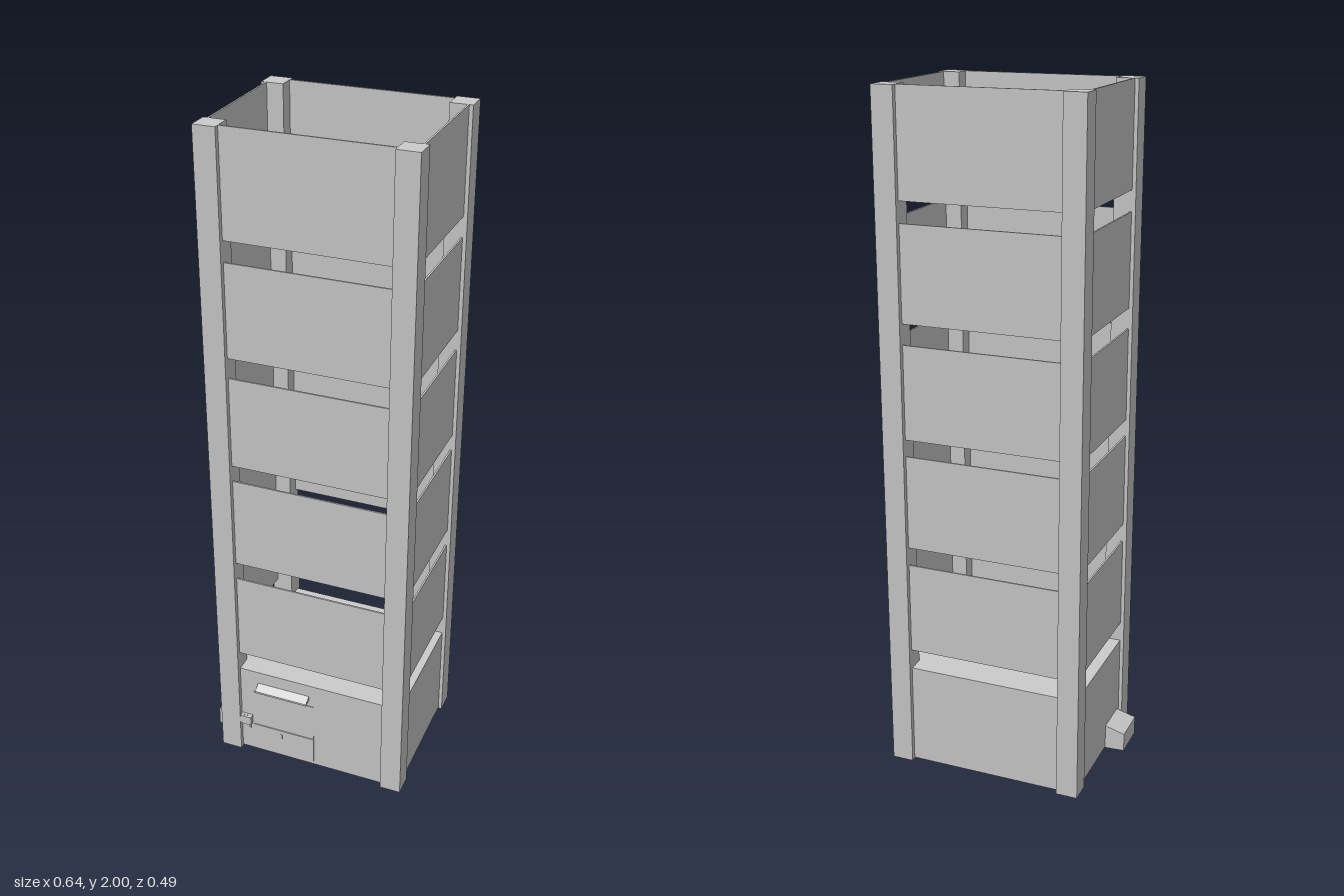
import * as THREE from 'three';

export function createModel() {
  const root = new THREE.Group();
  root.name = 'slattedTower';
  const mat = new THREE.MeshStandardMaterial({ color: 0xcccccc, flatShading: true });

  // Box given by its limits on each axis
  function box(name, x0, x1, y0, y1, z0, z1, parent = root) {
    const mesh = new THREE.Mesh(new THREE.BoxGeometry(x1 - x0, y1 - y0, z1 - z0), mat);
    mesh.position.set((x0 + x1) / 2, (y0 + y1) / 2, (z0 + z1) / 2);
    mesh.name = name;
    parent.add(mesh);
    return mesh;
  }

  // Four corner posts
  for (const x of [-0.273, 0.257])
    for (const z of [-0.245, 0.168]) box('cornerPost', x, x + 0.064, 0, 2, z, z + 0.064);

  // Thin wall panels in five rows with gaps between them
  const rows = [[0.37, 0.645], [0.7, 0.98], [1.03, 1.305], [1.365, 1.64], [1.7, 2]];
  for (const [y0, y1] of rows) {
    box('frontPanel', -0.209, 0.257, y0, y1, 0.212, 0.217);
    box('backPanel', -0.209, 0.257, y0, y1, -0.23, -0.225);
    box('rightPanel', -0.262, -0.257, y0, y1, -0.181, 0.168);
    box('leftPanel', 0.305, 0.31, y0, y1, -0.181, 0.168);
  }

  // Closed base between the posts
  box('baseCore', -0.209, 0.257, 0.003, 0.31, -0.23, 0.217);
  box('baseRightSide', -0.262, -0.209, 0.003, 0.31, -0.181, 0.168);
  box('baseLeftSide', 0.257, 0.31, 0.003, 0.31, -0.181, 0.168);

  // Cross bars on the base, with two rails lying over them
  for (const [z0, z1] of [[-0.127, -0.1], [0.085, 0.114]])
    box('crossBar', -0.209, 0.257, 0.31, 0.345, z0, z1);
  for (const x of [-0.071, 0.084])
    box('supportRail', x, x + 0.036, 0.345, 0.361, -0.127, 0.114);

  // Access door with its lower panel and slot
  const door = new THREE.Group();
  door.name = 'accessDoor';
  root.add(door);
  box('doorUpper', -0.167, 0.033, 0.105, 0.232, 0.215, 0.219, door);
  box('doorLower', -0.167, 0.033, 0.015, 0.103, 0.215, 0.22, door);
  box('doorSlot', -0.077, -0.072, 0.072, 0.09, 0.219, 0.222, door);

  // Sloping hood over the door
  const hoodShape = new THREE.Shape();
  [[0.215, 0.255], [0.242, 0.25], [0.242, 0.256], [0.215, 0.27]].forEach(([z, y], i) =>
    i ? hoodShape.lineTo(-z, y) : hoodShape.moveTo(-z, y));
  const hood = new THREE.Mesh(
    new THREE.ExtrudeGeometry(hoodShape, { depth: 0.168, bevelEnabled: false }), mat);
  hood.rotation.y = Math.PI / 2;
  hood.position.x = -0.15;
  hood.name = 'doorHood';
  root.add(hood);

  // Small latch beside the door
  box('latchBody', -0.207, -0.172, 0.106, 0.136, 0.217, 0.234);
  for (const x of [-0.197, -0.187]) {
    const pin = new THREE.Mesh(new THREE.CylinderGeometry(0.002, 0.002, 0.004, 8), mat);
    pin.position.set(x, 0.137, 0.226);
    pin.name = 'latchPin';
    root.add(pin);
  }
  box('latchHook', -0.184, -0.178, 0.085, 0.106, 0.217, 0.221);

  // Outlet box on the right side, with a sloping top and a hollow core
  const outlet = new THREE.Shape();
  [[-0.258, 0], [-0.258, 0.078], [-0.322, 0.06], [-0.322, 0.003]].forEach(([x, y], i) =>
    i ? outlet.lineTo(x, y) : outlet.moveTo(x, y));
  const outletBox = new THREE.Mesh(
    new THREE.ExtrudeGeometry(outlet, { depth: 0.11, bevelEnabled: false }), mat);
  outletBox.position.z = 0.043;
  outletBox.name = 'outletBox';
  root.add(outletBox);

  return root;
}
